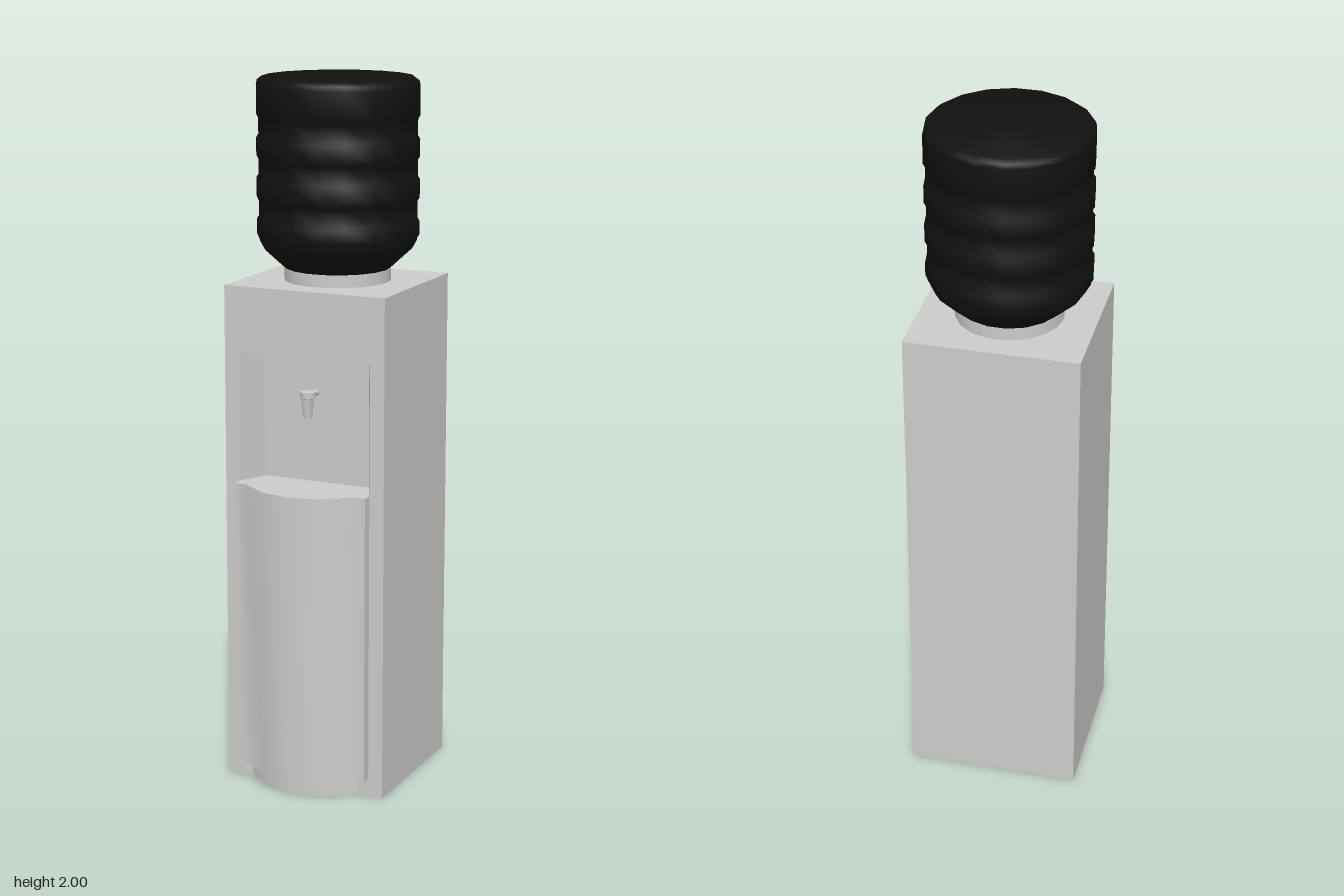
import * as THREE from 'three';
import { toCreasedNormals } from 'three/addons/utils/BufferGeometryUtils.js';

const grey = new THREE.MeshStandardMaterial({ color: 0xcccccc });
const black = new THREE.MeshStandardMaterial({ color: 0x111111 });
const SIDES = 18;
const AXIS_Z = -0.053; // bottle axis

function add(parent, name, geometry, material = grey) {
  const mesh = new THREE.Mesh(geometry, material);
  mesh.name = name;
  parent.add(mesh);
  return mesh;
}

// Extrudes a plan outline of [x, z] points from height y0 to y1
function slab(plan, y0, y1) {
  const shape = new THREE.Shape(plan.map(([x, z]) => new THREE.Vector2(x, -z)));
  const geometry = new THREE.ExtrudeGeometry(shape, { depth: y1 - y0, bevelEnabled: false });
  geometry.rotateX(-Math.PI / 2).translate(0, y0, 0);
  return toCreasedNormals(geometry, 0.75);
}

// Completes a plan outline given its +x half
const mirror = (half) => [...half, ...half.filter(([x]) => x > 0).reverse().map(([x, z]) => [-x, z])];

// Turns a profile of [radius, y] points around the vertical axis
function turned(profile, sides) {
  const points = profile.map(([r, y]) => new THREE.Vector2(r, y));
  return toCreasedNormals(new THREE.LatheGeometry(points, sides, Math.PI / 2), 0.75);
}

export function createModel() {
  const model = new THREE.Group();
  model.name = 'waterCooler';

  // Cabinet, with a dispensing recess whose side walls splay outwards
  const cabinet = new THREE.Group();
  cabinet.name = 'cabinet';
  model.add(cabinet);
  const block = mirror([[0.243, -0.273], [0.243, 0.17]]);
  const notched = mirror([[0.243, -0.273], [0.243, 0.17], [0.2, 0.17], [0.16, 0.085]]);
  add(cabinet, 'lowerCabinet', slab(block, 0, 0.88));
  add(cabinet, 'recessWalls', slab(notched, 0.88, 1.25));
  add(cabinet, 'upperCabinet', slab(block, 1.25, 1.435));

  // Bowed front panel and the set-back plinth below it
  add(model, 'frontPanel', slab(
    mirror([[0.2, 0.17], [0.2, 0.2], [0.165, 0.2], [0.083, 0.26], [0, 0.275]]), 0.05, 0.88));
  add(model, 'plinth', slab(mirror([[0.165, 0.17], [0.083, 0.23], [0, 0.245]]), 0, 0.05));

  // Tap: spout, cap and a feed pipe from the recess wall
  const tap = new THREE.Group();
  tap.name = 'tap';
  tap.position.set(0, 1.075, 0.143);
  model.add(tap);
  add(tap, 'spout', turned(
    [[0, 0], [0.012, 0], [0.018, 0.055], [0.022, 0.057], [0.022, 0.075], [0, 0.075]], 12));
  const pipe = add(tap, 'feedPipe', new THREE.CylinderGeometry(0.008, 0.008, 0.06, 10));
  pipe.rotation.x = Math.PI / 2;
  pipe.position.set(0, 0.062, -0.03);

  // Collar that seats the bottle
  const collar = add(model, 'bottleCollar', turned(
    [[0, 1.435], [0.15, 1.435], [0.15, 1.47], [0, 1.47]], SIDES));
  collar.position.z = AXIS_Z;

  // Ribbed bottle
  const profile = [[0, 1.468], [0.148, 1.47], [0.17, 1.49], [0.208, 1.525], [0.222, 1.55]];
  for (const [low, high] of [[1.56, 1.607], [1.663, 1.724], [1.777, 1.835], [1.89, 1.982]]) {
    profile.push([0.222, low - 0.005], [0.228, low + 0.005], [0.228, high - 0.005]);
    if (high < 1.9) profile.push([0.222, high + 0.005]);
  }
  profile.push([0.225, 1.99], [0.212, 2], [0, 2]);
  const bottle = add(model, 'bottle', turned(profile, SIDES), black);
  bottle.position.z = AXIS_Z;

  return model;
}
